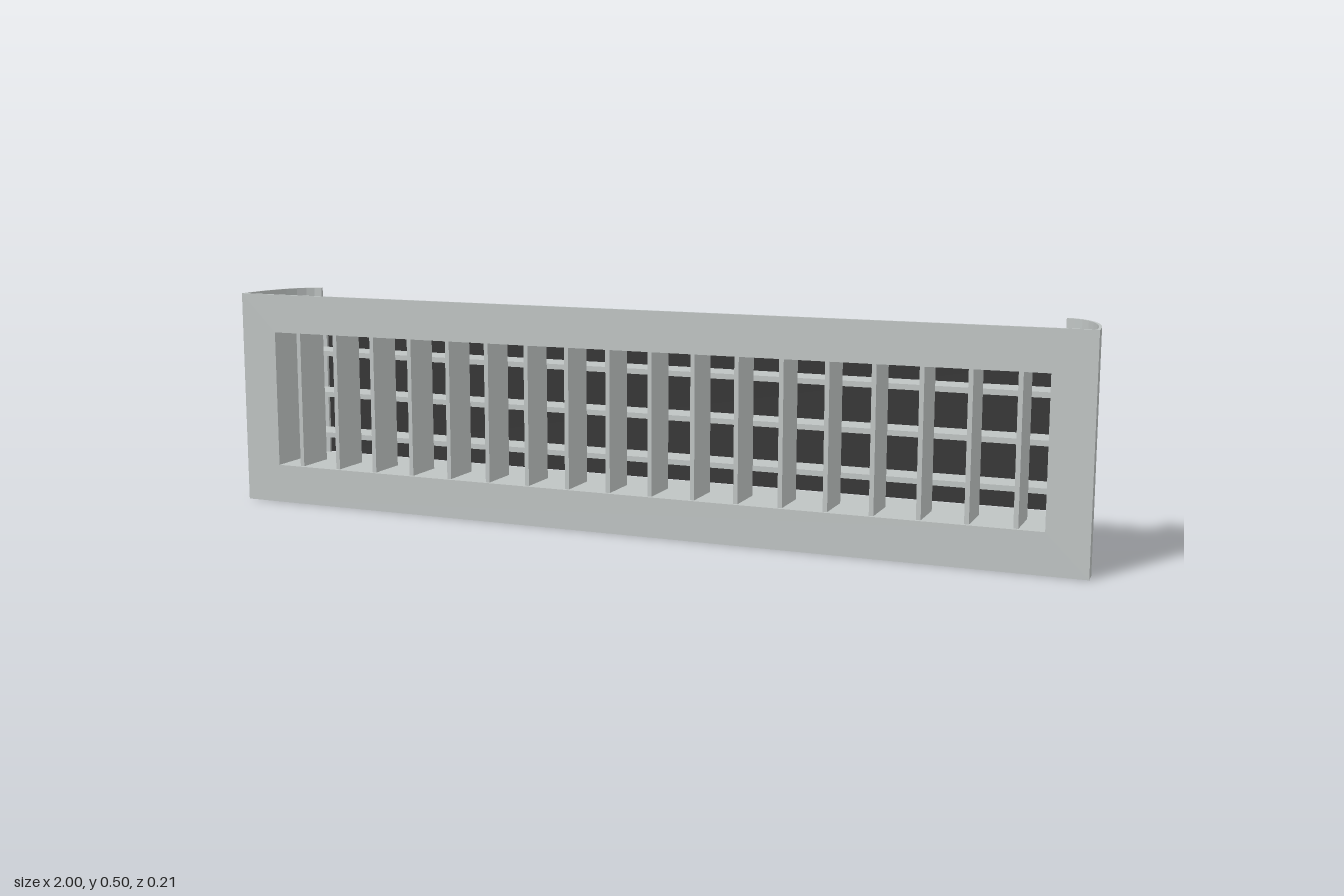
import * as THREE from 'three';

export function createModel() {
  const group = new THREE.Group();
  const metal = new THREE.MeshStandardMaterial({ color: 0xbfc4c3, flatShading: true });
  metal.name = 'paintedMetal';
  const dark = new THREE.MeshStandardMaterial({ color: 0x333333 });
  dark.name = 'darkFilter';

  const add = (name, geometry, material = metal) => {
    const mesh = new THREE.Mesh(geometry, material);
    mesh.name = name;
    group.add(mesh);
    return mesh;
  };
  const box = (name, x0, x1, y0, y1, z0, z1, material) =>
    add(name, new THREE.BoxGeometry(x1 - x0, y1 - y0, z1 - z0), material)
      .position.set((x0 + x1) / 2, (y0 + y1) / 2, (z0 + z1) / 2);

  // Front frame with a rectangular opening
  const frame = new THREE.Shape([[-1, 0], [1, 0], [1, 0.5], [-1, 0.5]].map(p => new THREE.Vector2(...p)));
  frame.holes.push(new THREE.Path([[-0.91, 0.09], [-0.91, 0.41], [0.91, 0.41], [0.91, 0.09]].map(p => new THREE.Vector2(...p))));
  add('frontFrame', new THREE.ExtrudeGeometry(frame, { depth: 0.006, bevelEnabled: false })).position.z = 0.099;

  // Duct walls behind the opening
  box('ductTop', -0.917, 0.917, 0.41, 0.417, -0.095, 0.1);
  box('ductBottom', -0.917, 0.917, 0.083, 0.09, -0.095, 0.1);
  for (const s of [-1, 1]) {
    const xs = [s * 0.91, s * 0.917].sort((a, b) => a - b);
    box('ductSide', ...xs, 0.083, 0.417, -0.095, 0.1);
    const edge = [s * 0.893, s * 0.91].sort((a, b) => a - b);
    box('ductLip', ...edge, 0.09, 0.41, -0.095, -0.088);
  }

  // Curved end returns; the rear edge is notched around the duct
  const arc = (s, offset, from, to) => {
    const pts = [];
    for (let k = from; k <= to; k++) {
      const a = k * Math.PI / 16;
      pts.push(new THREE.Vector2(s * (0.905 + (0.095 - offset) * Math.cos(a)),
        -0.105 + (0.2 - offset) * Math.sin(a)));
    }
    return pts;
  };
  const curvedStrip = (s, from, to, y0, y1) => {
    const shape = new THREE.Shape([...arc(s, 0, from, to), ...arc(s, 0.006, from, to).reverse()]);
    const geometry = new THREE.ExtrudeGeometry(shape, { depth: y1 - y0, bevelEnabled: false });
    geometry.rotateX(-Math.PI / 2);
    add('curvedEnd', geometry).position.y = y0;
  };
  for (const s of [-1, 1]) {
    curvedStrip(s, 0, 7, 0, 0.5);
    curvedStrip(s, 7, 8, 0, 0.083);
    curvedStrip(s, 7, 8, 0.417, 0.5);
  }

  // Vertical slats in front, horizontal bars behind them
  for (let i = 0; i < 18; i++) {
    const x = -0.85 + i * 0.1;
    box('verticalSlat', x - 0.005, x + 0.005, 0.09, 0.41, 0, 0.097);
  }
  for (const y of [0.15, 0.25, 0.35]) {
    box('horizontalBar', -0.91, 0.91, y - 0.006, y + 0.006, -0.08, -0.005);
  }

  // Filter sheet closing the back
  box('filterSheet', -0.91, 0.91, 0.09, 0.41, -0.105, -0.1, dark);
  return group;
}
